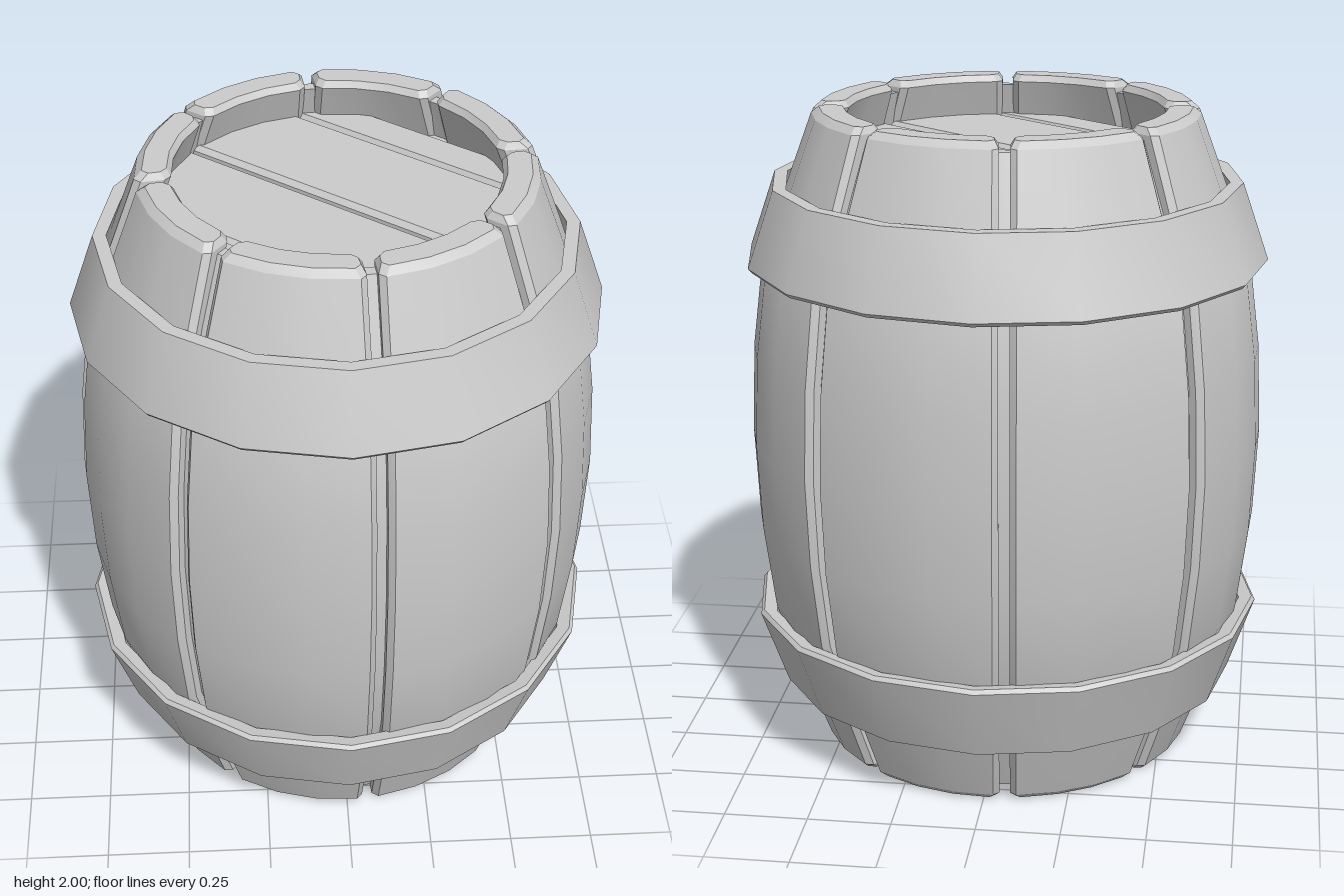
import * as THREE from 'three';
import { toCreasedNormals } from 'three/addons/utils/BufferGeometryUtils.js';

const STAVES = 8;
const SEAM = THREE.MathUtils.degToRad(38.5); // direction of one stave gap, from +x towards +z
const material = new THREE.MeshStandardMaterial({ color: 0xcccccc });

// Lower half of the bulging outline: [y, outer radius]
const HALF = [[0.02, 0.575], [0.23, 0.653], [0.47, 0.735], [0.73, 0.768]];
const OUTLINE = [...HALF, [1, 0.78], ...HALF.map(([y, r]) => [2 - y, r]).reverse()];

function addMesh(group, name, geometry) {
  const mesh = new THREE.Mesh(geometry, material);
  mesh.name = name;
  group.add(mesh);
  return mesh;
}

// One bevelled stave, lofted through cross-sections from bottom to top
function staveGeometry() {
  const thick = 0.105, bevel = 0.018, gap = 0.016;
  const levels = OUTLINE.map(([y, r]) => ({ y, out: r, inn: r - thick, gap }));
  const endCap = (y) => ({ y, out: 0.552, inn: 0.482, gap: gap + 0.012 });
  levels.unshift(endCap(0));
  levels.push(endCap(2));

  const half = Math.PI / STAVES;
  const positions = [], index = [];
  const M = 6, N = 2 * M;
  for (const l of levels) {
    const arc = (r, rEdge) => {
      const edge = half - l.gap / r, corner = edge - bevel / r;
      return [[-edge, rEdge], [-corner, r], [-corner / 3, r],
        [corner / 3, r], [corner, r], [edge, rEdge]];
    };
    const section = [...arc(l.out, l.out - bevel), ...arc(l.inn, l.inn + bevel).reverse()];
    for (const [a, r] of section) positions.push(r * Math.cos(a), l.y, r * Math.sin(a));
  }
  for (let k = 0; k < levels.length - 1; k++) {
    for (let i = 0; i < N; i++) {
      const a = k * N + i, b = k * N + (i + 1) % N;
      index.push(a, a + N, b + N, a, b + N, b);
    }
  }
  const top = (levels.length - 1) * N;
  for (let i = 0; i < M - 1; i++) {
    const o = i, p = i + 1, n = N - 1 - i, q = N - 2 - i;
    index.push(top + o, top + n, top + q, top + o, top + q, top + p);
    index.push(o, q, n, o, p, q);
  }
  const g = new THREE.BufferGeometry();
  g.setAttribute('position', new THREE.Float32BufferAttribute(positions, 3));
  g.setIndex(index);
  return toCreasedNormals(g, 0.42);
}

// Body that closes the gaps behind the staves, hollowed at both ends
function coreGeometry() {
  const inset = 0.04;
  const rim = [[0, 0.17], [0.54, 0.17], [0.5, 0.035], [0.535, 0.035]];
  const points = [
    ...rim,
    ...OUTLINE.slice(1, -1).map(([y, r]) => [r - inset, y]),
    ...rim.map(([r, y]) => [r, 2 - y]).reverse(),
  ].map(([r, y]) => new THREE.Vector2(r, y));
  return toCreasedNormals(new THREE.LatheGeometry(points, 32), 0.5);
}

// Hoop: sloped band with sixteen sides
function hoopGeometry() {
  const points = [[0.735, 1.545], [0.775, 1.538], [0.785, 1.55], [0.705, 1.78], [0.665, 1.78], [0.735, 1.545]]
    .map(([r, y]) => new THREE.Vector2(r, y));
  return toCreasedNormals(new THREE.LatheGeometry(points, 16), 0.42);
}

// Lid plank: strip of a disc between two parallel chords, lying flat
function plankGeometry(v0, v1) {
  const R = 0.55, steps = 8, right = [], left = [];
  for (let i = 0; i <= steps; i++) {
    const v = v0 + (v1 - v0) * i / steps;
    const u = Math.sqrt(R * R - v * v);
    right.push(new THREE.Vector2(u, v));
    left.unshift(new THREE.Vector2(-u, v));
  }
  const bevel = 0.015;
  const g = new THREE.ExtrudeGeometry(new THREE.Shape([...right, ...left]), {
    depth: 0.03, bevelThickness: bevel, bevelSize: bevel, bevelOffset: -bevel, bevelSegments: 1,
  });
  g.rotateX(-Math.PI / 2);
  g.rotateY(-SEAM);
  return g;
}

export function createModel() {
  const model = new THREE.Group();
  model.name = 'barrel';

  addMesh(model, 'core', coreGeometry());

  // Staves, with the gaps on the seam direction
  const stave = staveGeometry();
  for (let i = 0; i < STAVES; i++) {
    addMesh(model, 'stave', stave).rotation.y = -(SEAM + (i + 0.5) * 2 * Math.PI / STAVES);
  }

  // Upper hoop and its upside-down twin
  addMesh(model, 'upperHoop', hoopGeometry());
  const lowerHoop = addMesh(model, 'lowerHoop', hoopGeometry());
  lowerHoop.rotation.x = Math.PI;
  lowerHoop.position.y = 2;

  // Planked lid and base
  const planks = [[-0.48, -0.352], [-0.345, -0.01], [0.01, 0.345], [0.352, 0.48]];
  for (const [name, y] of [['lidPlank', 1.825], ['basePlank', 0.145]]) {
    for (const [v0, v1] of planks) addMesh(model, name, plankGeometry(v0, v1)).position.y = y;
  }
  return model;
}
